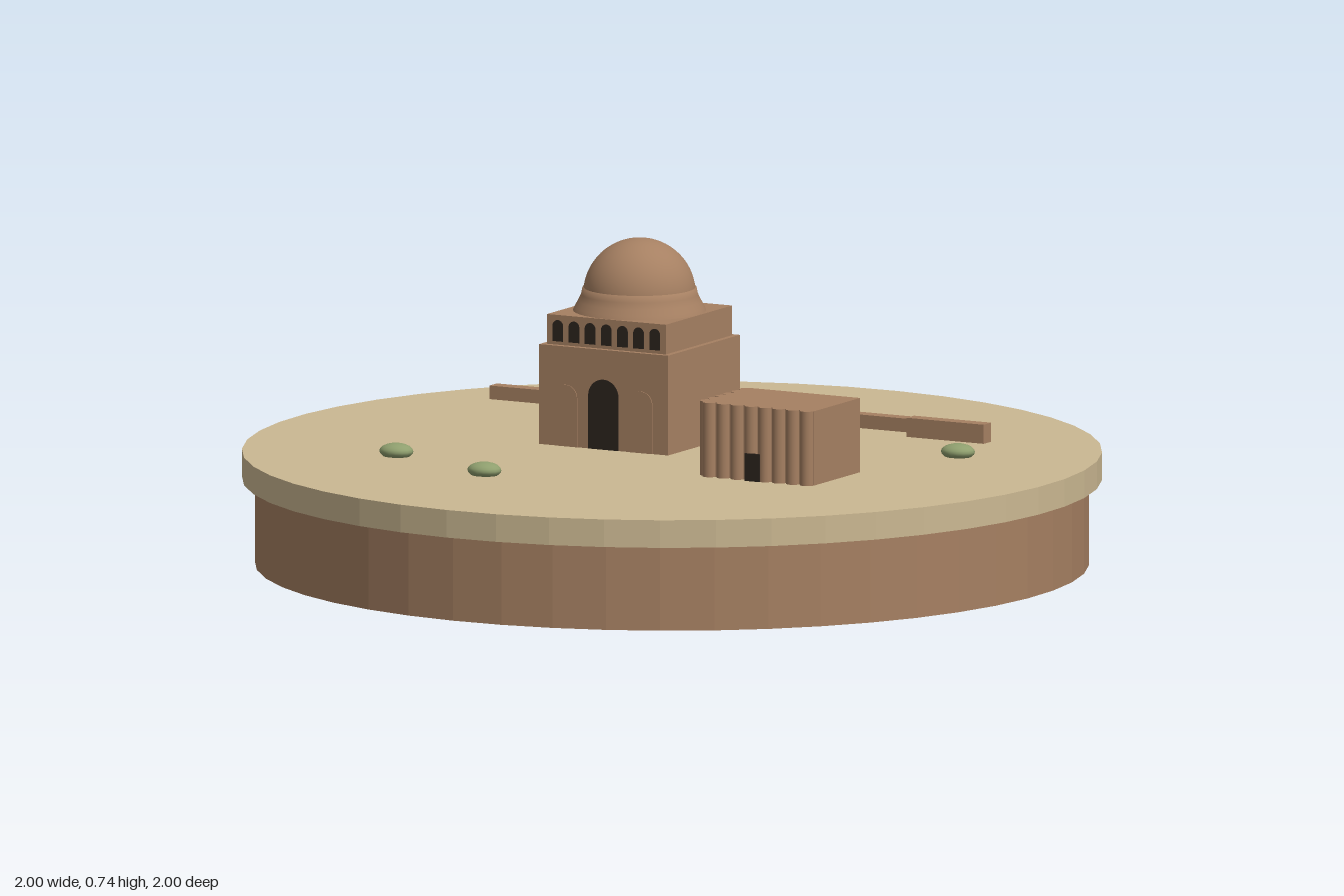
import * as THREE from 'three';

const GROUND = 0.265;
const TURN = -0.35; // everything on the site shares one heading

const material = (name, color, extra = {}) => {
  const m = new THREE.MeshStandardMaterial({ color, ...extra });
  m.name = name;
  return m;
};

export function createModel() {
  const brick = material('mud brick', 0xa68062);
  const earth = material('earth', 0xa68062, { flatShading: true });
  const sand = material('sand', 0xcbb892, { flatShading: true });
  const dark = material('dark opening', 0x2c241d);
  const green = material('shrub green', 0x8f9f6e);

  const model = new THREE.Group();
  model.name = 'desertSite';

  const add = (parent, name, geometry, mat, x = 0, y = 0, z = 0) => {
    const mesh = new THREE.Mesh(geometry, mat);
    mesh.name = name;
    mesh.position.set(x, y, z);
    parent.add(mesh);
    return mesh;
  };
  const turned = (name, x, z) => {
    const g = new THREE.Group();
    g.name = name;
    g.position.set(x, GROUND, z);
    g.rotation.y = TURN;
    model.add(g);
    return g;
  };
  // Box standing on height y
  const block = (parent, name, w, h, d, x, y, z) =>
    add(parent, name, new THREE.BoxGeometry(w, h, d), brick, x, y + h / 2, z);
  // Thin round-headed plate, base at the origin
  const archPlate = (w, h, depth) => {
    const r = w / 2;
    const s = new THREE.Shape();
    s.moveTo(-r, 0);
    s.lineTo(r, 0);
    s.lineTo(r, h - r);
    s.absarc(0, h - r, r, 0, Math.PI, false);
    s.closePath();
    return new THREE.ExtrudeGeometry(s, { depth, bevelEnabled: false, curveSegments: 10 });
  };

  // Round base
  add(model, 'earthBase', new THREE.CylinderGeometry(0.97, 0.97, 0.2, 48), earth, 0, 0.1, 0);
  add(model, 'sandDisc', new THREE.CylinderGeometry(1, 1, 0.065, 48), sand, 0, 0.2325, 0);

  // Domed hall
  const hall = turned('domedHall', -0.1, -0.147);
  block(hall, 'hallBody', 0.343, 0.235, 0.343, 0, 0, 0);
  block(hall, 'galleryTier', 0.316, 0.07, 0.316, 0, 0.235, 0);
  add(hall, 'doorArch', archPlate(0.08, 0.165, 0.003), dark, 0, 0, 0.1705);
  for (const x of [-0.1, 0.1]) {
    add(hall, 'blindArch', archPlate(0.06, 0.145, 0.003), brick, x, 0, 0.1705);
  }

  // Arcades on the front and one side of the upper tier
  for (const angle of [0, -Math.PI / 2]) {
    const arcade = new THREE.Group();
    arcade.name = 'arcade';
    arcade.rotation.y = angle;
    hall.add(arcade);
    for (let i = 0; i < 7; i++) {
      add(arcade, 'galleryArch', archPlate(0.028, 0.05, 0.003), dark, (i - 3) * 0.043, 0.243, 0.1565);
    }
  }

  // Flared collar and dome
  const collar = [[0.155, 0.305], [0.151, 0.314], [0.143, 0.328], [0.136, 0.343], [0.133, 0.358], [0.12, 0.361]];
  add(hall, 'domeCollar',
    new THREE.LatheGeometry(collar.map(([r, y]) => new THREE.Vector2(r, y)), 40), brick);
  add(hall, 'dome', new THREE.SphereGeometry(0.131, 40, 20, 0, Math.PI * 2, 0, Math.PI * 0.55),
    brick, 0, 0.343, 0);

  // Fluted building
  const fort = turned('flutedBuilding', 0.295, 0.295);
  const H = 0.175;
  block(fort, 'fortBody', 0.295, H, 0.222, 0.0075, 0, -0.0065);
  const flute = new THREE.CylinderGeometry(0.017, 0.017, H, 14);
  for (let i = 0; i < 8; i++) add(fort, 'frontFlute', flute, brick, -0.122 + i * 0.037, H / 2, 0.1025);
  for (let i = 0; i < 6; i++) add(fort, 'sideFlute', flute, brick, -0.138, H / 2, -0.099 + i * 0.037);
  add(fort, 'fortDoor', new THREE.BoxGeometry(0.04, 0.065, 0.006), dark, 0, 0.0325, 0.118);

  // Broken line of low walls: x, z, height
  const walls = [
    [-0.433, -0.64, 0.032], [-0.21, -0.615, 0.045], [0.02, -0.59, 0.045],
    [0.23, -0.516, 0.045], [0.42, -0.39, 0.032], [0.61, -0.26, 0.045],
  ];
  for (const [x, z, h] of walls) {
    block(turned('ruinedWall', x, z), 'wallSegment', 0.205, h, 0.035, 0, 0, 0);
  }

  // Low shrubs
  const shrub = new THREE.SphereGeometry(1, 16, 10);
  for (const [x, z] of [[-0.62, 0.18], [-0.375, 0.415], [0.305, -0.335], [0.67, -0.02]]) {
    add(turned('shrub', x, z), 'shrubCrown', shrub, green, 0, 0.012, 0).scale.set(0.041, 0.019, 0.035);
  }

  return model;
}
